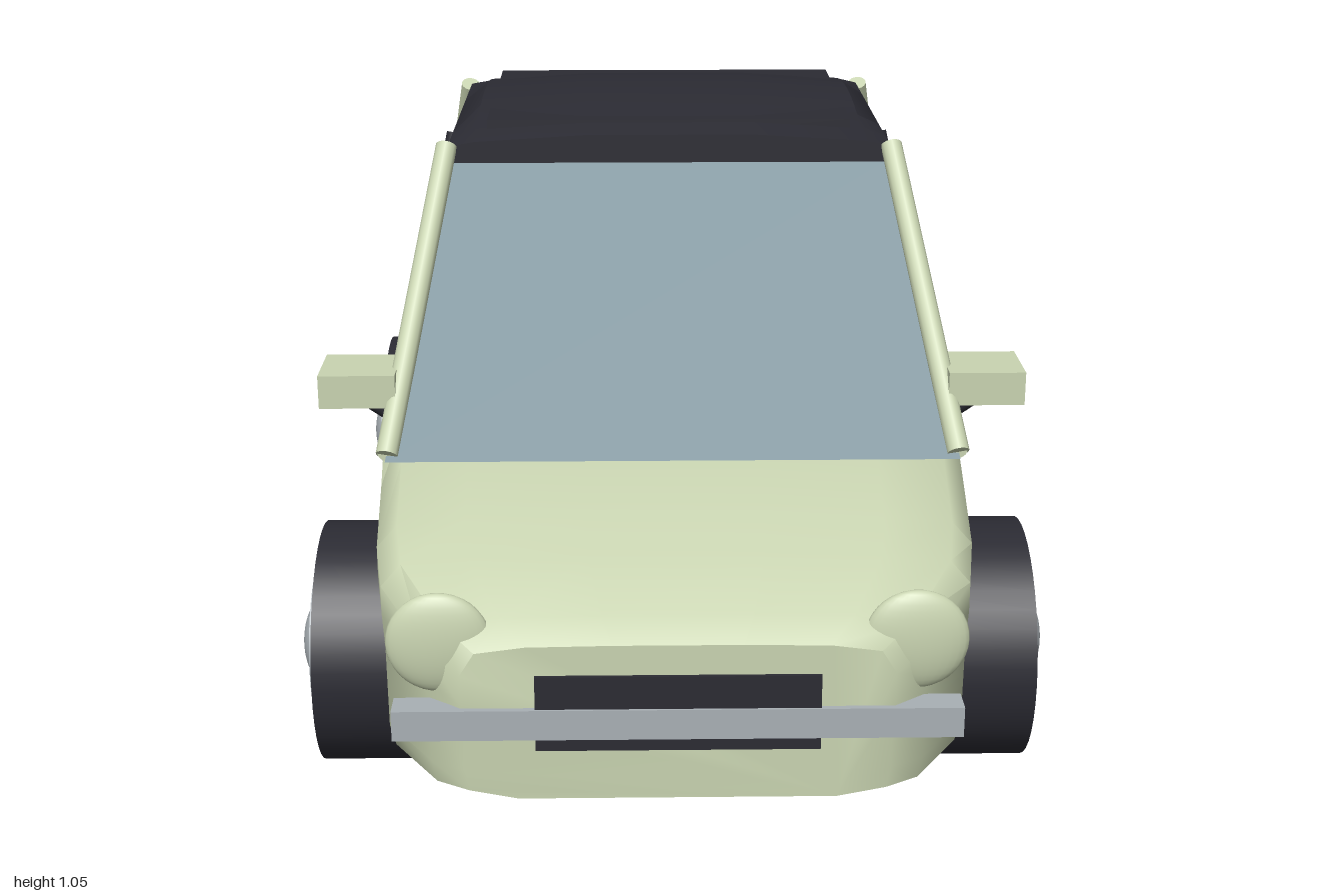
import * as THREE from 'three';
import { toCreasedNormals } from 'three/addons/utils/BufferGeometryUtils.js';

const mat = (name, color) => {
  const m = new THREE.MeshStandardMaterial({ color });
  m.name = name;
  return m;
};

// Skin over rings of [x, y, z] points, closed at both ends
function loft(rings, crease) {
  const n = rings[0].length, idx = [];
  for (let i = 0; i < rings.length - 1; i++) {
    for (let j = 0; j < n; j++) {
      const k = (j + 1) % n;
      const a = i * n + j, b = i * n + k, c = b + n, d = a + n;
      idx.push(a, b, c, a, c, d);
    }
  }
  const last = (rings.length - 1) * n;
  for (let j = 1; j < n - 1; j++) idx.push(0, j + 1, j, last, last + j, last + j + 1);
  const g = new THREE.BufferGeometry();
  g.setAttribute('position', new THREE.Float32BufferAttribute(rings.flat(2), 3));
  g.setIndex(idx);
  return toCreasedNormals(g, crease);
}

// Closed ring from right-half points listed bottom to top
const mirrorRing = (half, z) => [
  ...half.map(([x, y]) => [x, y, z]),
  ...half.slice().reverse().map(([x, y]) => [-x, y, z]),
];

export function createModel() {
  const car = new THREE.Group();
  car.name = 'smallCar';
  const paint = mat('pale green paint', 0xc9d4b1);
  const glass = mat('blue glass', 0x5a7883);
  const dark = mat('dark rubber and fabric', 0x2b2b33);
  const chrome = mat('chrome', 0xa9b0b5);
  const red = mat('red lens', 0x8f2b25);

  const add = (name, geo, m, x = 0, y = 0, z = 0) => {
    const mesh = new THREE.Mesh(geo, m);
    mesh.name = name;
    mesh.position.set(x, y, z);
    car.add(mesh);
    return mesh;
  };
  const box = (name, m, w, h, d, x, y, z) => add(name, new THREE.BoxGeometry(w, h, d), m, x, y, z);
  const rod = (name, m, r, from, to) => {
    const a = new THREE.Vector3(...from), b = new THREE.Vector3(...to);
    const dir = b.clone().sub(a);
    const mesh = add(name, new THREE.CylinderGeometry(r, r, dir.length(), 14), m);
    mesh.position.copy(a).add(b).multiplyScalar(0.5);
    mesh.quaternion.setFromUnitVectors(new THREE.Vector3(0, 1, 0), dir.normalize());
    return mesh;
  };

  // Body shell: z, sill half width, shoulder half width, bottom, top
  const stations = [
    [-0.975, 0.33, 0.34, 0.14, 0.41],
    [-0.94, 0.38, 0.385, 0.135, 0.44],
    [-0.78, 0.475, 0.49, 0.13, 0.545],
    [-0.70, 0.45, 0.495, 0.13, 0.56],
    [-0.36, 0.45, 0.51, 0.13, 0.56],
    [-0.29, 0.485, 0.515, 0.13, 0.56],
    [0.0, 0.49, 0.52, 0.13, 0.56],
    [0.31, 0.485, 0.515, 0.13, 0.56],
    [0.38, 0.45, 0.51, 0.13, 0.56],
    [0.56, 0.45, 0.495, 0.13, 0.545],
    [0.73, 0.45, 0.485, 0.13, 0.505],
    [0.82, 0.465, 0.47, 0.13, 0.475],
    [0.95, 0.385, 0.39, 0.135, 0.43],
    [0.99, 0.33, 0.335, 0.14, 0.40],
  ];
  const bodyRings = stations.map(([z, sill, sh, bot, top]) => mirrorRing([
    [sill * 0.75, bot], [sill * 0.98, bot + 0.015], [sill, bot + 0.05],
    [sill + (sh - sill) * 0.3, bot + (top - bot) * 0.55],
    [sh, top - 0.1], [sh, top - 0.05], [sh * 0.93, top - 0.012], [sh * 0.7, top - 0.002],
    [sh * 0.3, top],
  ], z));
  add('body', loft(bodyRings, 0.75), paint);
  box('underTray', dark, 0.71, 0.1, 1.66, 0, 0.15, 0.01);

  // Glasshouse
  const glassRing = (w, y, zf, zr) => [[w, y, zf], [w, y, zr], [-w, y, zr], [-w, y, zf]];
  add('windows', loft([glassRing(0.485, 0.545, 0.58, -0.68), glassRing(0.4, 0.975, 0.18, -0.43)], 0.3), glass);

  // Domed roof and its slightly raised fabric panel
  const roofRings = [];
  for (let i = 0; i <= 10; i++) {
    const t = i / 10, top = 1.02 + 0.036 * (1 - (2 * t - 1) ** 2);
    roofRings.push(mirrorRing([
      [0.392, 0.96], [0.403, 0.985], [0.398, 1.0], [0.35, top - 0.012], [0.15, top],
    ], -0.435 + t * 0.62));
  }
  add('roof', loft(roofRings, 0.6), dark);
  box('roofPanel', dark, 0.66, 0.06, 0.51, 0, 1.007, -0.125);

  for (const s of [-1, 1]) {
    // Window frames
    rod('frontPillar', paint, 0.019, [s * 0.482, 0.555, 0.572], [s * 0.4, 1.0, 0.18]);
    rod('rearPillar', paint, 0.019, [s * 0.482, 0.56, -0.675], [s * 0.4, 1.0, -0.43]);
    rod('beltRail', paint, 0.016, [s * 0.482, 0.56, 0.572], [s * 0.482, 0.56, -0.675]);
    rod('doorPillar', dark, 0.017, [s * 0.484, 0.575, 0.02], [s * 0.405, 0.97, -0.08]);

    // Mirrors and door handles
    box('mirror', paint, 0.13, 0.058, 0.12, s * 0.535, 0.649, 0.46);
    rod('mirrorStalk', dark, 0.018, [s * 0.47, 0.585, 0.46], [s * 0.535, 0.63, 0.46]);
    box('doorHandle', chrome, 0.012, 0.016, 0.12, s * 0.522, 0.545, -0.05);

    // Lights and rear exhaust tips
    add('headlight', new THREE.SphereGeometry(0.082, 28, 18), paint, s * 0.368, 0.39, 0.952).scale.z = 0.3;
    box('tailLight', red, 0.16, 0.08, 0.04, s * 0.22, 0.335, -0.98);
    rod('exhaustTip', chrome, 0.025, [s * 0.24, 0.205, -0.94], [s * 0.24, 0.205, -1]);

    // Wheels
    for (const z of [0.55, -0.53]) {
      const wheel = new THREE.Group();
      wheel.name = 'wheel';
      wheel.position.set(s * 0.505, 0.207, z);
      wheel.rotation.z = -s * Math.PI / 2;
      const part = (name, geo, m, y) => {
        const mesh = new THREE.Mesh(geo, m);
        mesh.name = name;
        mesh.position.y = y;
        wheel.add(mesh);
        return mesh;
      };
      part('tyre', new THREE.CylinderGeometry(0.206, 0.206, 0.19, 40), dark, 0);
      part('rim', new THREE.CylinderGeometry(0.137, 0.137, 0.02, 36), chrome, 0.098);
      part('hubCap', new THREE.SphereGeometry(0.074, 28, 10, 0, Math.PI * 2, 0, Math.PI / 2), chrome, 0.1).scale.y = 0.48;
      car.add(wheel);
    }
  }

  // Nose and tail trim
  box('grille', dark, 0.44, 0.125, 0.02, 0, 0.288, 0.986);
  box('frontBumper', chrome, 0.88, 0.05, 0.048, 0, 0.271, 0.976);
  box('rearBumper', chrome, 0.88, 0.05, 0.048, 0, 0.273, -0.964);

  // Engine vents
  [0.575, 0.57, 0.56, 0.535, 0.507].forEach((y, i) =>
    box('engineVent', dark, 0.5, 0.013, 0.02, 0, y, -0.705 - i * 0.041));

  return car;
}
